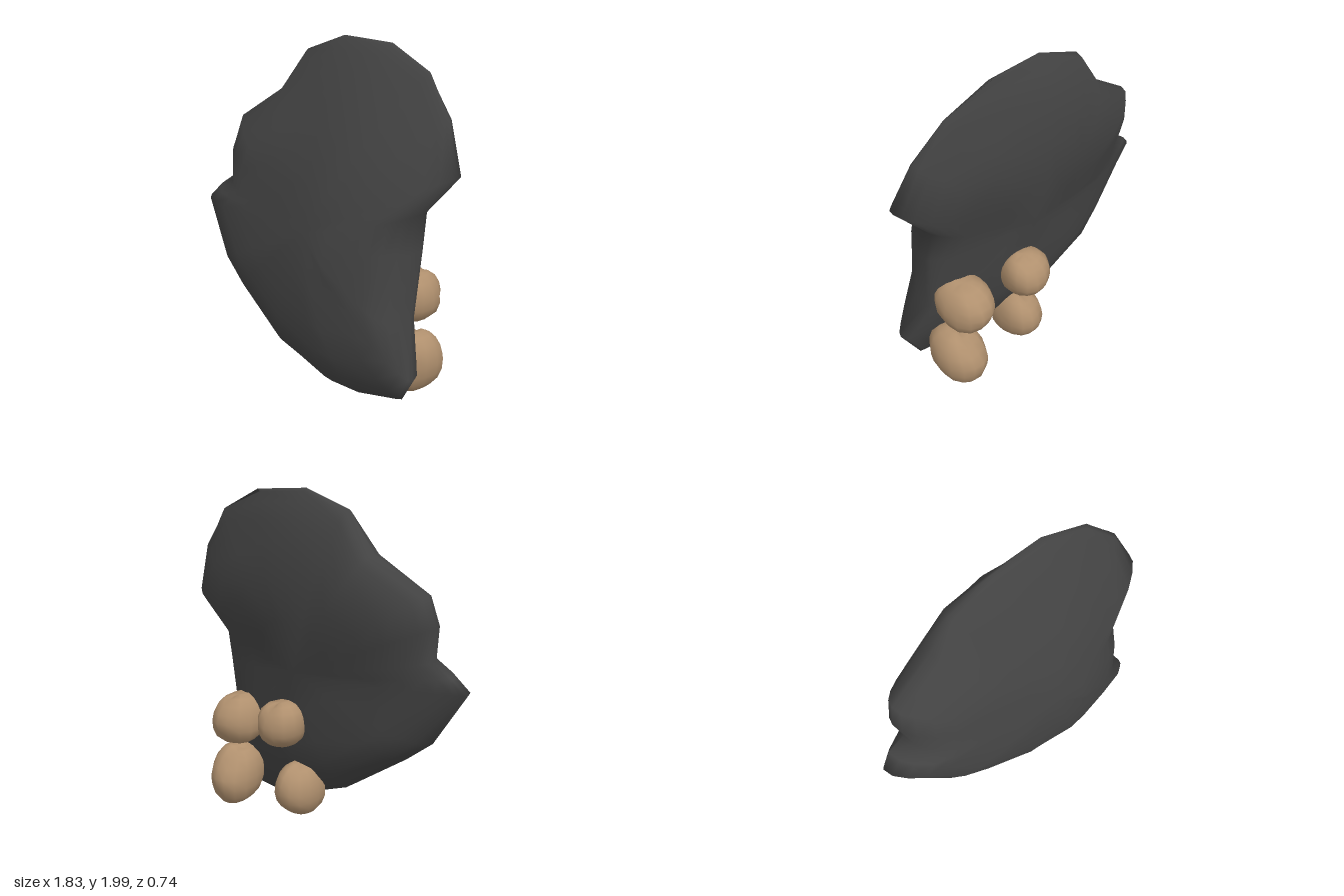
import * as THREE from 'three';
import { mergeVertices } from 'three/addons/utils/BufferGeometryUtils.js';

const charcoal = new THREE.MeshStandardMaterial({ color: 0x434343 });
charcoal.name = 'charcoal';
const tan = new THREE.MeshStandardMaterial({ color: 0xb0906e });
tan.name = 'tan';

// Rim of the slab, clockwise from the top: x, y, z
const rim = [
  [0.03, 2.0, -0.18], [0.36, 1.98, -0.18], [0.64, 1.85, -0.13], [0.81, 1.63, -0.06],
  [0.91, 1.34, 0.0], [0.71, 1.11, 0.0], [0.71, 0.9, 0.02], [0.69, 0.5, 0.07],
  [0.8, 0.22, 0.2], [0.7, 0.06, 0.15], [0.43, 0.015, 0.13], [0.26, 0.05, 0.13],
  [-0.13, 0.2, 0.12], [-0.5, 0.45, 0.05], [-0.68, 0.59, 0.02], [-0.92, 0.935, -0.07],
  [-0.84, 1.02, -0.1], [-0.72, 1.1, -0.1], [-0.75, 1.3, -0.13], [-0.71, 1.47, -0.15],
  [-0.4, 1.67, -0.18], [-0.25, 1.9, -0.19],
];
// Depth of the front and back faces by height: y, z
const frontDepth = [[0, 0.23], [0.1, 0.32], [0.37, 0.385], [0.8, 0.37], [1.32, 0.235], [1.9, -0.06], [2, -0.13]];
const backDepth = [[0, 0.06], [0.1, -0.02], [0.4, -0.16], [0.6, -0.19], [0.95, -0.23], [1.37, -0.34], [1.5, -0.33], [1.87, -0.27], [2, -0.2]];

function depthAt(table, y) {
  let i = 0;
  while (i < table.length - 2 && y > table[i + 1][0]) i++;
  const [y0, z0] = table[i], [y1, z1] = table[i + 1];
  return THREE.MathUtils.lerp(z0, z1, (y - y0) / (y1 - y0));
}

// Rings run from the front centre, over the rim, to the back centre
function slabGeometry() {
  const half = [[0, 1], [0.3, 1], [0.55, 1], [0.72, 0.99], [0.84, 0.91], [0.93, 0.66], [0.985, 0.34]];
  const rings = [
    ...half.map(([t, w]) => [t, w, 1]), [1, 0, 1],
    ...half.slice().reverse().map(([t, w]) => [t, w, -1]),
  ];
  const cx = 0.1, cy = 0.95, n = rim.length;
  const pos = [], index = [];
  for (const [t, w, side] of rings) {
    for (const [rx, ry, rz] of rim) {
      const x = cx + (rx - cx) * t, y = cy + (ry - cy) * t;
      // The rim is blunter at the top and bottom than at the sides
      const steep = (ry - cy) ** 2 / ((rx - cx) ** 2 + (ry - cy) ** 2);
      const face = side > 0
        ? depthAt(frontDepth, y) - 0.18 * Math.hypot(x - 0.26, 0.1)
        : depthAt(backDepth, y) + 0.24 * Math.max(0, Math.abs(x + 0.15) - 0.25);
      pos.push(x, y, THREE.MathUtils.lerp(rz, face, w ** (1 - 0.65 * steep)));
    }
  }
  for (let k = 0; k < rings.length - 1; k++) {
    for (let i = 0; i < n; i++) {
      const j = (i + 1) % n;
      const d = k * n + i, c = k * n + j, a = d + n, b = c + n;
      if (k < rings.length - 2) index.push(a, c, b);
      if (k > 0) index.push(a, d, c);
    }
  }
  const g = new THREE.BufferGeometry();
  g.setAttribute('position', new THREE.Float32BufferAttribute(pos, 3));
  g.setIndex(index);
  const merged = mergeVertices(g, 1e-5);
  merged.computeVertexNormals();
  return merged;
}

// Chunky pebble foot with a shallow crease; cut slopes its upper back away
function footGeometry([rx, ry, rz], cut, seed) {
  const base = new THREE.SphereGeometry(1, 14, 10);
  base.deleteAttribute('uv');
  base.deleteAttribute('normal');
  const g = mergeVertices(base, 1e-4);
  const p = g.attributes.position;
  for (let i = 0; i < p.count; i++) {
    const x = p.getX(i), y = p.getY(i), z = p.getZ(i);
    const chunky = (Math.abs(x) ** 2.3 + Math.abs(y) ** 2.3 + Math.abs(z) ** 2.3) ** (-1 / 2.3);
    const lump = 0.03 * Math.sin(3 * x + 2 * y + seed) + 0.03 * Math.sin(4 * z - 3 * y + seed * 2);
    const crease = z < 0.2 && y > 0 ? 0.14 * y * Math.exp(-(((x - 0.25 * Math.sin(seed)) / 0.2) ** 2)) : 0;
    const r = chunky + lump - crease;
    const slope = z < 0 && y > 0 ? 1 - cut * y : 1;
    p.setXYZ(i, x * r * rx, y * r * ry, z * r * rz * slope);
  }
  g.computeVertexNormals();
  return g;
}

export function createModel() {
  const model = new THREE.Group();
  model.name = 'slabWithFeet';

  const body = new THREE.Mesh(slabGeometry(), charcoal);
  body.name = 'slabBody';
  model.add(body);

  // Feet: name, centre, radii, upper back cut
  const feet = [
    ['upperOuterFoot', [0.56, 0.575, -0.125], [0.155, 0.16, 0.195], 0.2],
    ['upperInnerFoot', [0.18, 0.63, -0.23], [0.14, 0.14, 0.14], 0],
    ['lowerOuterFoot', [0.615, 0.195, -0.105], [0.145, 0.19, 0.195], 0.5],
    ['lowerInnerFoot', [0.13, 0.195, -0.11], [0.13, 0.16, 0.175], 0],
  ];
  feet.forEach(([name, centre, radii, cut], i) => {
    const foot = new THREE.Mesh(footGeometry(radii, cut, i * 1.7 + 0.5), tan);
    foot.name = name;
    foot.position.set(...centre);
    model.add(foot);
  });
  return model;
}
